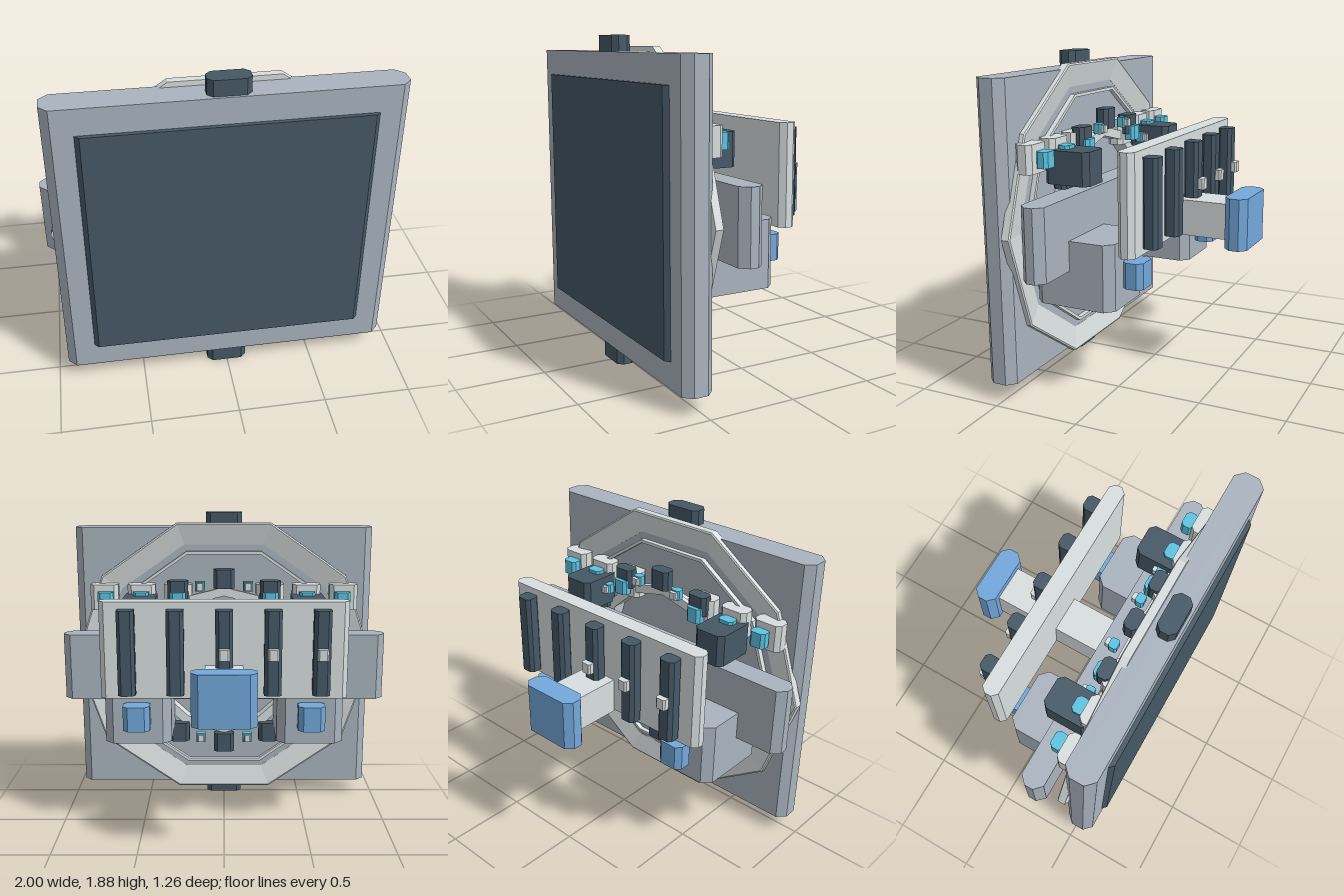
import * as THREE from 'three';

const mat = (name, color) => {
  const m = new THREE.MeshStandardMaterial({ color });
  m.name = name;
  return m;
};

export function createModel() {
  const grey = mat('hull grey', 0xaab4bf);
  const dark = mat('dark slate', 0x465866);
  const light = mat('pale grey', 0xd9dfe0);
  const blue = mat('blue', 0x73a8dc);
  const cyan = mat('cyan', 0x5cc4e2);

  const model = new THREE.Group();
  const CY = 0.945; // height of the ring centre

  function add(name, geometry, material) {
    const flat = geometry.index ? geometry.toNonIndexed() : geometry;
    flat.computeVertexNormals();
    const mesh = new THREE.Mesh(flat, material);
    mesh.name = name;
    model.add(mesh);
  }

  // Box given by its limits, with its four upright edges cut off
  function block(name, material, [x0, x1], [y0, y1], [z0, z1], c) {
    const s = new THREE.Shape();
    const a = -z1, b = -z0; // shape y becomes -z
    s.moveTo(x0 + c, a);
    s.lineTo(x1 - c, a);
    s.lineTo(x1, a + c);
    s.lineTo(x1, b - c);
    s.lineTo(x1 - c, b);
    s.lineTo(x0 + c, b);
    s.lineTo(x0, b - c);
    s.lineTo(x0, a + c);
    s.closePath();
    const g = new THREE.ExtrudeGeometry(s, { depth: y1 - y0, bevelEnabled: false });
    g.rotateX(-Math.PI / 2).translate(0, y0, 0);
    add(name, g, material);
  }
  const around = (v, half) => [v - half, v + half];

  // Faceted ring facing z; profile is [radius, z], anticlockwise
  function ring(name, material, profile, sides, squash) {
    const pts = [...profile, profile[0]].map(([r, z]) => new THREE.Vector2(r, z));
    const g = new THREE.LatheGeometry(pts, sides, Math.PI / 2);
    g.rotateX(Math.PI / 2).scale(1, squash, 1).translate(0, CY, 0);
    add(name, g, material);
  }

  // Front panel, screen and clips
  block('panel', grey, [-0.94, 0.94], [0.1, 1.79], [0.43, 0.605], 0.047);
  block('screen', dark, [-0.78, 0.78], [0.25, 1.64], [0.56, 0.63], 0.025);
  block('topClip', dark, [-0.115, 0.115], [1.77, 1.88], [0.48, 0.59], 0.03);
  block('bottomClip', dark, [-0.115, 0.115], [0, 0.12], [0.48, 0.59], 0.03);

  // Rings on the back of the panel
  ring('outerRing', light, [[0.81, 0.429], [0.95, 0.4], [0.96, 0.405], [0.96, 0.45], [0.81, 0.45]], 10, 0.958);
  ring('middleRing', light, [[0.745, 0.4], [0.765, 0.4], [0.765, 0.44], [0.745, 0.44]], 10, 0.958);
  ring('innerRing', light, [[0.46, 0.338], [0.52, 0.338], [0.52, 0.37], [0.46, 0.37]], 12, 0.92);
  ring('ringBase', light, [[0.46, 0.37], [0.49, 0.37], [0.49, 0.435], [0.46, 0.435]], 12, 0.92);

  // Cross beam
  block('crossBeam', grey, [-1, 1], [0.74, 1.15], [0.18, 0.32], 0.045);

  // Central arm with end block
  block('centreArm', light, [-0.11, 0.11], [0.84, 1.05], [-0.51, 0.19], 0.005);
  block('armEnd', blue, [-0.18, 0.18], [0.8, 1.1], [-0.635, -0.5], 0.04);

  // Rear board with upright slats and knobs
  block('rearBoard', light, [-0.72, 0.72], [0.85, 1.42], [-0.205, -0.105], 0.03);
  for (let i = -2; i <= 2; i++) {
    const x = i * 0.28;
    block('slat', dark, around(x, 0.05), [0.885, 1.38], [-0.29, -0.2], 0.02);
    if (i <= 0) block('slatKnob', light, around(x, 0.032), [1.1, 1.165], [-0.325, -0.28], 0.01);
  }

  for (const s of [-1, 1]) {
    // Side housings with blue outlets and dark upper boxes
    block('sideHousing', grey, around(s * 0.52, 0.2), [0.53, 0.91], [-0.075, 0.41], 0.05);
    block('outlet', blue, around(s * 0.52, 0.08), [0.64, 0.79], [-0.195, -0.07], 0.03);
    block('upperBox', dark, around(s * 0.52, 0.1), [1.19, 1.38], [0.115, 0.39], 0.03);

    // Row of pale brackets with cyan lamps
    for (const x of [0.29, 0.52, 0.755]) {
      block('bracket', light, around(s * x, 0.088), [1.28, 1.44], [0.33, 0.43], 0.025);
      block('lamp', cyan, around(s * (x < 0.7 ? x : 0.74), 0.049), [1.31, 1.4], [0.262, 0.335], 0.018);
    }
  }

  // Blocks around the inner ring, with small lights between them
  for (let i = 0; i < 12; i++) {
    const a = (i * Math.PI) / 6;
    const x = 0.58 * Math.cos(a), y = CY + 0.535 * Math.sin(a);
    block('ringBlock', dark, around(x, 0.065), around(y, 0.06), [0.288, 0.372], 0.022);

    const b = a + Math.PI / 12;
    const u = 0.58 * Math.cos(b), v = CY + 0.51 * Math.sin(b);
    block('ringLight', cyan, around(u, 0.03), around(v, 0.03), [0.268, 0.32], 0.01);
    block('ringKnob', light, around(u, 0.022), around(v, 0.022), [0.245, 0.275], 0.006);
  }

  return model;
}
